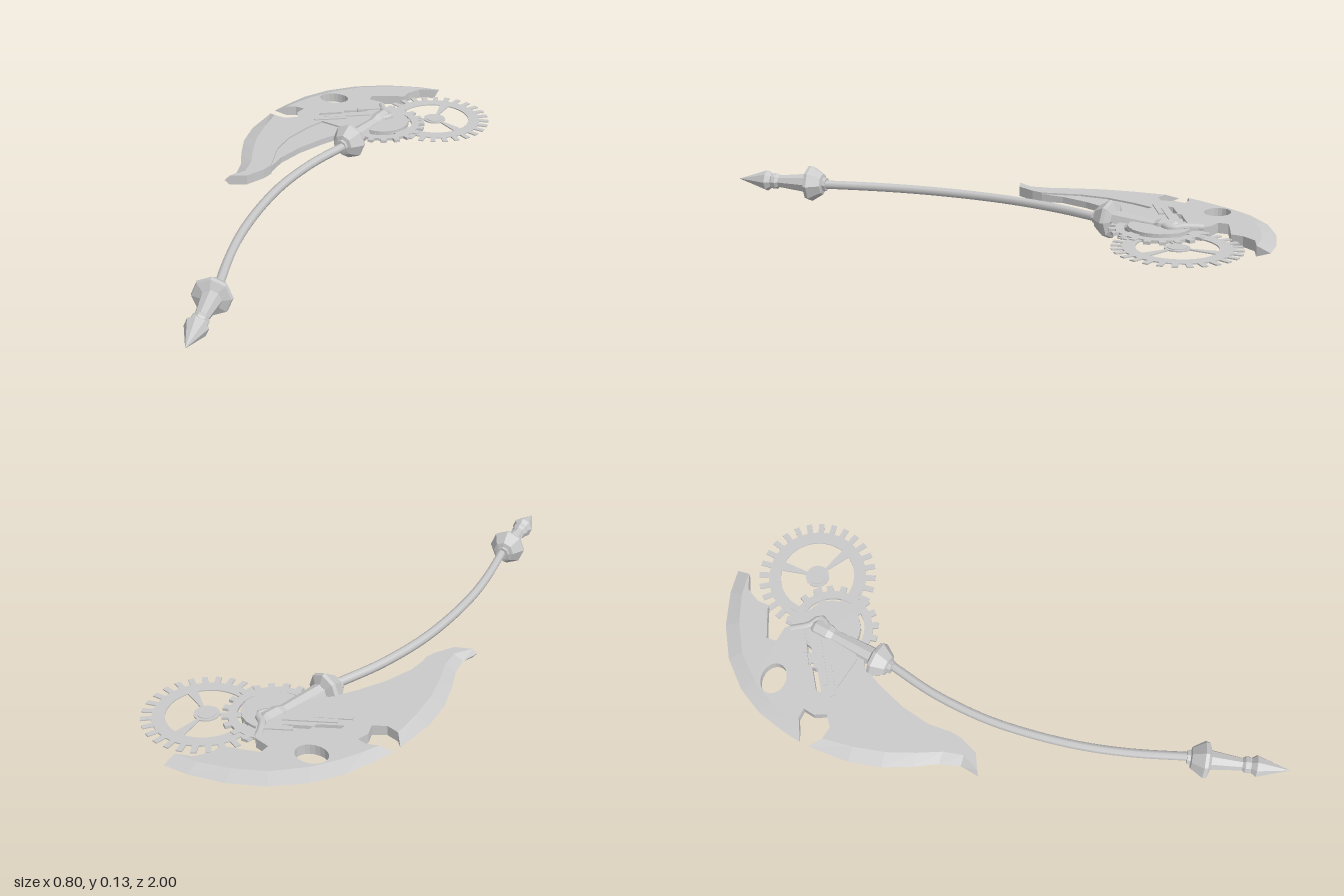
import * as THREE from 'three';

const MID = 0.066; // height of the flat mid-plane
const steel = new THREE.MeshStandardMaterial({ color: 0xcacaca, side: THREE.DoubleSide });
steel.name = 'steel';

const vec = (pts) => pts.map(([x, z]) => new THREE.Vector2(x, z));

function add(group, name, geometry) {
  const mesh = new THREE.Mesh(geometry, steel);
  mesh.name = name;
  group.add(mesh);
  return mesh;
}

// Hard-edged copy of a geometry
function faceted(geometry) {
  const g = geometry.toNonIndexed();
  g.computeVertexNormals();
  return g;
}

// Flat plate: shape given in x,z and thickened evenly about the mid-plane
function plate(group, name, shape, thick) {
  const g = new THREE.ExtrudeGeometry(shape, { depth: thick, bevelEnabled: false, curveSegments: 10 });
  g.translate(0, 0, -thick / 2).rotateX(Math.PI / 2).translate(0, MID, 0);
  return add(group, name, g);
}

// Wedge from a raised ridge (both faces) down to a sharp outer edge
function cuttingEdge(group, name, ridge, edge, thick) {
  const pos = [], index = [], n = ridge.length;
  for (const side of [1, -1]) {
    const base = pos.length / 3;
    for (let i = 0; i < n; i++) {
      pos.push(ridge[i][0], MID + side * thick / 2, ridge[i][1], edge[i][0], MID, edge[i][1]);
    }
    for (let i = 0; i < n - 1; i++) {
      const a = base + 2 * i, b = a + 1, c = a + 2, d = a + 3;
      if (side > 0) index.push(a, b, c, b, d, c);
      else index.push(a, c, b, b, c, d);
    }
  }
  // end caps
  const o = 2 * n, l = 2 * n - 2;
  index.push(0, o, 1, l, l + 1, o + l);
  const g = new THREE.BufferGeometry();
  g.setAttribute('position', new THREE.Float32BufferAttribute(pos, 3));
  g.setIndex(index);
  add(group, name, faceted(g));
}

// Annular sector hole
function sector(r0, r1, a0, a1) {
  const p = new THREE.Path();
  p.absarc(0, 0, r1, a0, a1, false);
  p.absarc(0, 0, r0, a1, a0, true);
  p.closePath();
  return p;
}

// Toothed wheel with three openings between spokes
function gear(group, name, x, z, o) {
  const pts = [], step = Math.PI * 2 / o.teeth;
  for (let i = 0; i < o.teeth; i++) {
    for (const [f, r] of [[0, o.root], [0.5, o.root], [0.54, o.tip], [0.96, o.tip]]) {
      const a = (i + f) * step;
      pts.push(new THREE.Vector2(Math.cos(a) * r, Math.sin(a) * r));
    }
  }
  const shape = new THREE.Shape(pts);
  for (let i = 0; i < 3; i++) {
    const a = -Math.PI / 2 + i * Math.PI * 2 / 3;
    shape.holes.push(sector(o.hole[0], o.hole[1], a + o.gap, a + Math.PI * 2 / 3 - o.gap));
  }
  plate(group, name, shape, o.thick).position.set(x, 0, z);
}

// Eight-sided turned part along a direction in the x,z plane; profile is [radius, distance]
function turned(group, name, x, z, dx, dz, profile) {
  const mesh = add(group, name, faceted(new THREE.LatheGeometry(vec(profile), 8)));
  mesh.position.set(x, MID, z);
  mesh.rotation.set(Math.PI / 2, Math.atan2(dx, dz), 0, 'YXZ');
}

function tube(group, name, pts, radius, segments) {
  const curve = new THREE.CatmullRomCurve3(pts.map(([x, z, y = 0]) => new THREE.Vector3(x, MID + y, z)));
  add(group, name, new THREE.TubeGeometry(curve, segments, radius, 8));
}

export function createModel() {
  const model = new THREE.Group();
  model.name = 'gearScythe';

  // Blade
  const upperEdge = [[.135, -1], [.05, -.995], [-.07, -.965], [-.18, -.91], [-.27, -.83], [-.33, -.74], [-.365, -.645], [-.385, -.575]];
  const upperRidge = [[.13, -.955], [.05, -.95], [-.05, -.92], [-.15, -.87], [-.235, -.79], [-.29, -.71], [-.325, -.64], [-.345, -.59]];
  const lowerEdge = [[-.39, -.545], [-.4, -.4], [-.385, -.29], [-.35, -.19], [-.315, -.11], [-.3, -.04], [-.315, .025]];
  const lowerRidge = [[-.355, -.505], [-.35, -.4], [-.335, -.29], [-.305, -.19], [-.275, -.11], [-.265, -.04], [-.3, .018]];
  const notch = [[-.31, -.605], [-.275, -.6], [-.285, -.56], [-.27, -.52], [-.31, -.495]];
  const back = [[-.245, -.005], [-.21, -.07], [-.2, -.11], [-.21, -.15], [-.232, -.24], [-.23, -.34], [-.2, -.45],
    [-.17, -.52], [-.05, -.49], [.02, -.55], [.03, -.7], [-.02, -.765], [-.075, -.775], [-.075, -.81],
    [-.02, -.83], [.04, -.85], [.045, -.89], [.075, -.935]];
  const body = new THREE.Shape(vec([...upperRidge, ...notch, ...lowerRidge, ...back]));
  body.holes.push(new THREE.Path().absellipse(-.205, -.735, .055, .043, 0, Math.PI * 2));
  for (const [x, z, len] of [[-.165, -.595, .075], [-.085, -.65, .08]]) {
    const slot = [[-len / 2, .012], [len / 2, -.03], [len / 2, -.012], [-len / 2, .03]];
    body.holes.push(new THREE.Path(vec(slot.map(([u, v]) => [x + u, z + v]))));
  }
  plate(model, 'bladeBody', body, .034);
  cuttingEdge(model, 'upperCuttingEdge', upperRidge, upperEdge, .034);
  cuttingEdge(model, 'lowerCuttingEdge', lowerRidge, lowerEdge, .034);
  plate(model, 'innerBlade', new THREE.Shape(vec([[-.2, -.11], [-.196, -.19], [-.165, -.29], [-.115, -.39],
    [-.07, -.46], [-.02, -.48], [-.1, -.53], [-.18, -.52], [-.21, -.45], [-.235, -.34], [-.235, -.24], [-.212, -.15]])), .022);

  // Linkage bars on both faces of the blade
  for (const [x, z, len] of [[-.15, -.55, .12], [-.1, -.6, .17], [-.04, -.69, .1]]) {
    const bar = add(model, 'linkageBar', new THREE.BoxGeometry(len, .042, .018));
    bar.position.set(x, MID, z);
    bar.rotation.y = .5;
  }

  // Gears: a thin spoked wheel and a smaller one with a thick core
  gear(model, 'largeGear', .2, -.73, { teeth: 28, root: .168, tip: .202, hole: [.04, .127], gap: .13, thick: .004 });
  gear(model, 'smallGear', .03, -.615, { teeth: 20, root: .14, tip: .16, hole: [.1, .112], gap: .22, thick: .01 });
  const discs = [['largeGearHub', .2, -.73, .03, .008], ['smallGearCore', .03, -.615, .1, .028]];
  for (const [name, x, z, r, h] of discs) {
    add(model, name, new THREE.CylinderGeometry(r, r, h, 20)).position.set(x, MID, z);
  }

  // Shaft, neck and the hooked joint over the small gear
  tube(model, 'shaft', [[-.035, -.37], [-.085, -.21], [-.116, -.03], [-.122, .13], [-.11, .32], [-.083, .48], [-.03, .69]], .0155, 28);
  turned(model, 'neck', -.025, -.44, .2, -.98, [[0, 0], [.034, 0], [.03, .08], [.026, .16], [.034, .18], [.034, .23], [.02, .25], [0, .25]]);
  for (const s of [1, -1]) {
    tube(model, 'hookedJoint', [[.02, -.62, s * .015], [.05, -.66, s * .015], [.015, -.69, s * .015], [-.015, -.745, s * .012]], .013, 10);
  }

  // Flared guards at both ends of the shaft
  const flare = [[0, -.012], [.024, -.012], [.024, 0], [.038, .003], [.065, .045], [.062, .057], [.034, .068], [0, .068]];
  turned(model, 'upperGuard', -.038, -.382, .2, -.98, flare);
  turned(model, 'lowerGuard', -.038, .675, .17, .985, flare);

  // Tapered grip and pointed pommel
  turned(model, 'pommelGrip', -.028, .725, .17, .985, [[0, 0], [.036, 0], [.022, .12], [.029, .13], [.029, .145], [.02, .155], [0, .155]]);
  turned(model, 'pommelSpike', -.003, .868, .17, .985, [[0, 0], [.022, 0], [.038, .022], [0, .134]]);

  return model;
}
